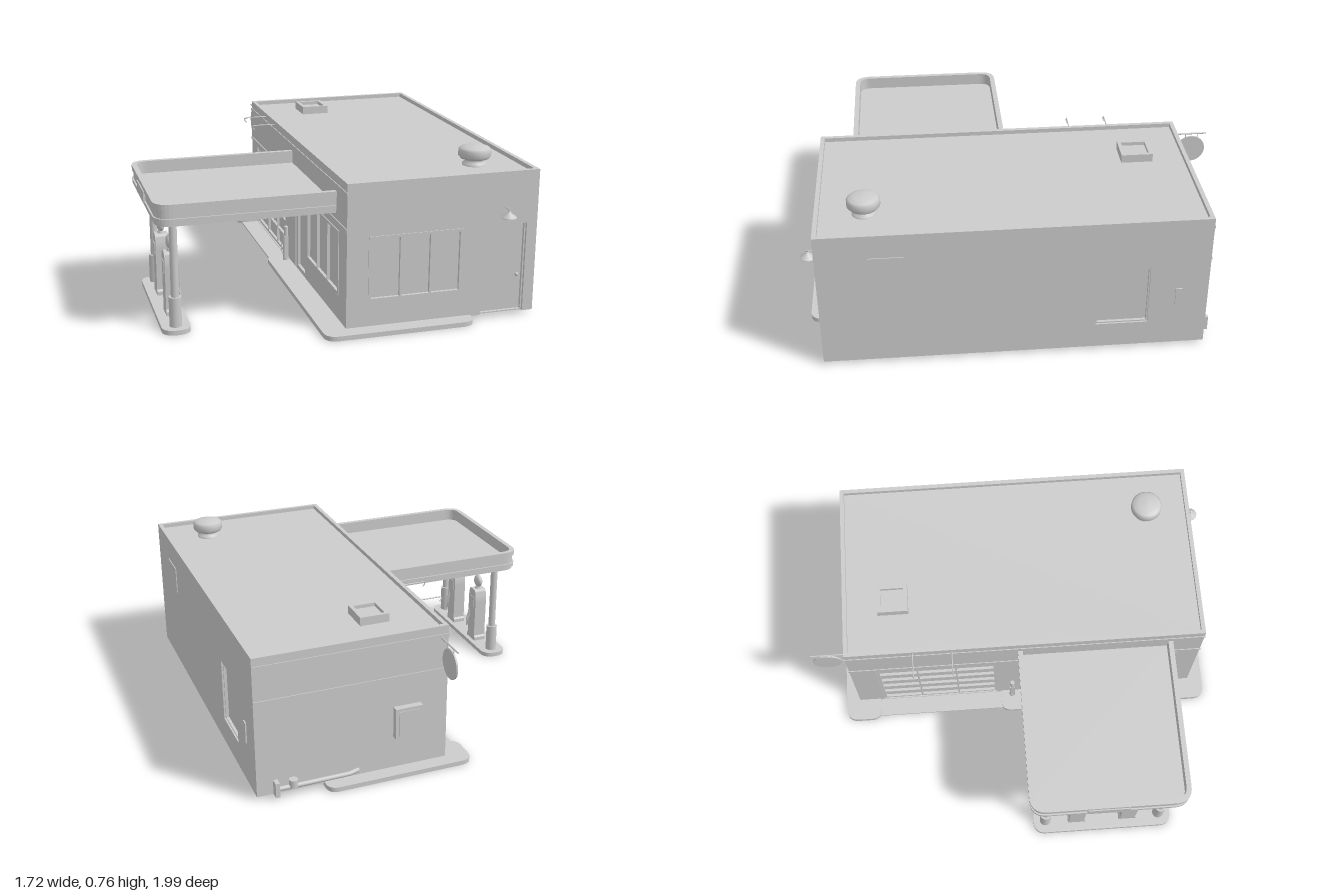
import * as THREE from 'three';

const mat = new THREE.MeshStandardMaterial({ color: 0xcccccc, side: THREE.DoubleSide });

function add(parent, name, geo, x = 0, y = 0, z = 0) {
  const m = new THREE.Mesh(geo, mat);
  m.name = name;
  m.position.set(x, y, z);
  parent.add(m);
  return m;
}

function box(parent, name, [x0, x1], [y0, y1], [z0, z1]) {
  return add(parent, name, new THREE.BoxGeometry(x1 - x0, y1 - y0, z1 - z0),
    (x0 + x1) / 2, (y0 + y1) / 2, (z0 + z1) / 2);
}

const cyl = (parent, name, r0, r1, y0, y1, x, z, n = 20) =>
  add(parent, name, new THREE.CylinderGeometry(r1, r0, y1 - y0, n), x, (y0 + y1) / 2, z);

function tube(parent, name, pts, r, smooth = false) {
  const v = pts.map(p => new THREE.Vector3(...p));
  let path = new THREE.CatmullRomCurve3(v);
  if (!smooth) {
    path = new THREE.CurvePath();
    for (let i = 1; i < v.length; i++) path.add(new THREE.LineCurve3(v[i - 1], v[i]));
  }
  return add(parent, name, new THREE.TubeGeometry(path, 24, r, 8));
}

// Outline from [a, b, cornerRadius] points
function outline(pts, C = THREE.Shape) {
  const s = new C(), n = pts.length;
  pts.forEach(([a, b, r = 0], i) => {
    const toward = q => {
      const d = Math.hypot(q[0] - a, q[1] - b);
      return [a + (q[0] - a) * r / d, b + (q[1] - b) * r / d];
    };
    const p0 = toward(pts[(i + n - 1) % n]), p1 = toward(pts[(i + 1) % n]);
    i ? s.lineTo(...p0) : s.moveTo(...p0);
    if (r) s.quadraticCurveTo(a, b, ...p1);
  });
  s.closePath();
  return s;
}
const rect = (a0, a1, b0, b1, r = 0, C = THREE.Shape) =>
  outline([[a0, b0, r], [a1, b0, r], [a1, b1, r], [a0, b1, r]], C);
const extrude = (shape, depth) =>
  new THREE.ExtrudeGeometry(shape, { depth, bevelEnabled: false, curveSegments: 8 });

// Horizontal slab from an (x, z) outline
function slab(parent, name, pts, y0, y1, hole) {
  const flip = p => p.map(([x, z, r]) => [x, -z, r]);
  const s = outline(flip(pts));
  if (hole) s.holes.push(outline(flip(hole), THREE.Path));
  return add(parent, name, extrude(s, y1 - y0).rotateX(-Math.PI / 2), 0, y0, 0);
}

// Wall in local coordinates (outside is local +z), with framed openings
function wall(parent, name, u0, u1, openings) {
  const g = new THREE.Group();
  g.name = name;
  parent.add(g);
  const s = rect(u0, u1, 0.015, 0.685);
  for (const o of openings) s.holes.push(rect(o.u[0], o.u[1], o.v[0], o.v[1], 0, THREE.Path));
  add(g, name + 'Panel', extrude(s, 0.02), 0, 0, -0.02);
  for (const o of openings) {
    const { u: [a, b], v: [c, d], cols = 1, rows = 1, edge = 0.012, bar = 0.008, out = 0.004 } = o;
    const f = rect(a, b, c, d);
    const w = (b - a - 2 * edge - (cols - 1) * bar) / cols;
    const h = (d - c - 2 * edge - (rows - 1) * bar) / rows;
    for (let i = 0; i < cols; i++) for (let j = 0; j < rows; j++) {
      const x = a + edge + i * (w + bar), y = c + edge + j * (h + bar);
      f.holes.push(rect(x, x + w, y, y + h, 0, THREE.Path));
    }
    add(g, o.name + 'Frame', extrude(f, 0.016), 0, 0, out - 0.016);
    box(g, o.name + 'Pane', [a, b], [c, d], [out - 0.02, out - 0.014]);
  }
  return g;
}

export function createModel() {
  const root = new THREE.Group();
  root.name = 'fillingStation';

  // Building shell, open at the bottom
  const building = new THREE.Group();
  building.name = 'building';
  root.add(building);
  const front = wall(building, 'frontWall', -0.05, 0.85, [
    { name: 'frontWindow', u: [0.05, 0.49], v: [0.14, 0.44], cols: 3 },
    { name: 'frontDoor', u: [0.59, 0.80], v: [0.015, 0.44], edge: 0.006, out: -0.012 }]);
  front.position.z = 0.92;
  add(front, 'doorKnob', new THREE.SphereGeometry(0.009, 12, 8), 0.77, 0.19, -0.015);

  const west = wall(building, 'forecourtWall', -0.83, 0.92, [
    { name: 'garageDoor', u: [-0.70, -0.10], v: [0.015, 0.45], cols: 3, rows: 5, out: -0.006 },
    { name: 'shopDoor', u: [0.09, 0.27], v: [0.015, 0.44], edge: 0.022, out: -0.006 },
    { name: 'shopWindow', u: [0.31, 0.81], v: [0.14, 0.44], cols: 3 }]);
  west.rotation.y = -Math.PI / 2;
  west.position.x = -0.05;

  const east = wall(building, 'sideWall', -0.92, 0.83, [
    { name: 'sideWindow', u: [0.32, 0.56], v: [0.14, 0.44], edge: 0.006, out: -0.008 }]);
  east.rotation.y = Math.PI / 2;
  east.position.x = 0.85;
  box(east, 'meterBox', [0.68, 0.71], [0.22, 0.32], [0, 0.006]);
  box(east, 'wallPlate', [-0.69, -0.53], [0.44, 0.57], [0, 0.004]);

  const back = wall(building, 'backWall', -0.85, 0.05, []);
  back.rotation.y = Math.PI;
  back.position.z = -0.83;
  box(back, 'backVentBox', [-0.21, -0.08], [0.18, 0.33], [0, 0.03]);
  box(back, 'backVentPanel', [-0.195, -0.095], [0.195, 0.315], [0.03, 0.033]);

  // Thin trim lines
  for (const y of [0.475, 0.64]) {
    box(west, 'trim', [-0.834, 0.924], [y - 0.006, y + 0.006], [0, 0.004]);
    box(back, 'trim', [-0.85, 0.054], [y - 0.006, y + 0.006], [0, 0.004]);
  }

  // Roof
  box(building, 'roof', [-0.04, 0.84], [0.645, 0.665], [-0.82, 0.91]);
  const hatch = [[0.16, -0.66], [0.30, -0.66], [0.30, -0.51], [0.16, -0.51]];
  const inner = [[0.178, -0.642], [0.282, -0.642], [0.282, -0.528], [0.178, -0.528]];
  slab(building, 'roofHatchRim', hatch, 0.66, 0.705, inner);
  slab(building, 'roofHatchLid', inner, 0.66, 0.688);
  const vent = [[0.055, 0.66], [0.055, 0.675], [0.04, 0.68], [0.04, 0.695], [0.065, 0.698],
    [0.075, 0.71], [0.075, 0.738], [0.065, 0.748], [0.04, 0.757], [0, 0.76]];
  add(building, 'roofVent', new THREE.LatheGeometry(vent.map(p => new THREE.Vector2(...p)), 24), 0.63, 0, 0.70);

  // Pavement and driveway
  slab(root, 'frontPavement', [[-0.16, -0.08, 0.05], [-0.16, 0.995, 0.06], [0.54, 0.995, 0.06],
    [0.54, 0.91], [-0.05, 0.91], [-0.05, -0.08]], 0, 0.022);
  slab(root, 'backPavement', [[-0.16, -0.72, 0.05], [-0.16, -0.90, 0.06], [0.54, -0.90, 0.05],
    [0.54, -0.82], [-0.05, -0.82], [-0.05, -0.72]], 0, 0.022);
  box(root, 'driveway', [-0.14, -0.05], [0, 0.008], [-0.73, -0.07]);

  // Canopy: a tray with a stepped rim
  const canopy = new THREE.Group();
  canopy.name = 'canopy';
  root.add(canopy);
  const plan = (i, end = -0.03) => [[-0.855 + i, 0.01 + i, 0.08 - i], [-0.855 + i, 0.77 - i, 0.08 - i],
    [end, 0.77 - i], [end, 0.01 + i]];
  slab(canopy, 'canopyDeck', plan(0.01), 0.512, 0.55);
  for (const [y0, y1, inset] of [[0.51, 0.525, 0.007], [0.525, 0.545, 0], [0.545, 0.585, 0.007], [0.585, 0.61, 0]])
    slab(canopy, 'canopyRim', plan(inset), y0, y1, plan(0.024, -0.045));
  box(canopy, 'canopyPlate', [-0.86, -0.85], [0.535, 0.59], [0.28, 0.48]);
  add(canopy, 'canopyLamp', new THREE.SphereGeometry(0.012, 12, 8), -0.42, 0.509, 0.39);

  // Pump island with posts and pumps
  slab(root, 'pumpIsland', [[-0.83, 0.04, 0.06], [-0.70, 0.04, 0.06], [-0.70, 0.74, 0.06], [-0.83, 0.74, 0.06]], 0, 0.022);
  for (const z of [0.10, 0.68]) {
    cyl(root, 'canopyPost', 0.018, 0.018, 0.02, 0.515, -0.765, z);
    cyl(root, 'postSleeve', 0.028, 0.028, 0.02, 0.16, -0.765, z);
  }
  const body = [[-0.045, 0.02], [0.045, 0.02], [0.045, 0.04], [0.037, 0.05], [0.041, 0.27, 0.02],
    [0.03, 0.32, 0.015], [-0.03, 0.32, 0.015], [-0.041, 0.27, 0.02], [-0.037, 0.05], [-0.045, 0.04]];
  for (const z of [0.26, 0.52]) {
    const pump = new THREE.Group();
    pump.name = 'fuelPump';
    pump.position.set(-0.755, 0, z);
    root.add(pump);
    add(pump, 'pumpBody', extrude(outline(body), 0.064).rotateY(Math.PI / 2), -0.032);
    for (const s of [-1, 1]) {
      box(pump, 'pumpDial', s > 0 ? [0.032, 0.035] : [-0.035, -0.032], [0.22, 0.275], [-0.024, 0.024]);
    }
    cyl(pump, 'globeNeck', 0.016, 0.013, 0.318, 0.332, 0, 0);
    add(pump, 'globe', new THREE.SphereGeometry(0.034, 20, 12), 0, 0.362).scale.x = 0.55;
    tube(pump, 'hose', [[0.01, 0.2, 0.04], [0.03, 0.13, 0.056], [0.035, 0.08, 0.05],
      [0.036, 0.13, 0.03], [0.034, 0.19, 0.03]], 0.004, true);
  }

  // Air stand beside the shop door
  cyl(root, 'airStandFoot', 0.016, 0.014, 0.02, 0.035, -0.07, -0.02);
  box(root, 'airStand', [-0.082, -0.06], [0.03, 0.15], [-0.032, -0.008]);
  cyl(root, 'airStandHead', 0.011, 0.011, 0.15, 0.2, -0.07, -0.02);
  tube(root, 'airHose', [[-0.08, 0.14, -0.02], [-0.092, 0.09, -0.03], [-0.085, 0.05, -0.025]], 0.003, true);

  // Front door lamp
  tube(root, 'lampArm', [[0.69, 0.52, 0.91], [0.69, 0.52, 0.96], [0.69, 0.50, 0.96]], 0.003);
  const shade = [[0.005, 0.515], [0.01, 0.505], [0.034, 0.488], [0.034, 0.483]];
  add(root, 'lampShade', new THREE.LatheGeometry(shade.map(p => new THREE.Vector2(...p)), 20), 0.69, 0, 0.96);

  // Bracket arms above the garage door
  for (const z of [-0.5, -0.31]) {
    tube(root, 'bracketArm', [[-0.04, 0.668, z], [-0.168, 0.668, z], [-0.168, 0.655, z], [-0.158, 0.645, z]], 0.003);
  }

  // Round hanging sign at the back corner
  tube(root, 'signBracket', [[-0.015, 0.63, -0.82], [-0.015, 0.63, -0.997]], 0.004);
  for (const z of [-0.895, -0.955]) tube(root, 'signHanger', [[-0.015, 0.63, z], [-0.015, 0.60, z]], 0.002);
  add(root, 'hangingSign', new THREE.CylinderGeometry(0.07, 0.07, 0.008, 32).rotateZ(Math.PI / 2), -0.015, 0.545, -0.925);

  // Low pipe along the back wall
  tube(root, 'backPipe', [[0.38, 0.05, -0.835], [0.43, 0.05, -0.852], [0.77, 0.05, -0.855]], 0.011);
  box(root, 'pipeEnd', [0.755, 0.775], [0.015, 0.085], [-0.868, -0.83]);
  cyl(root, 'pipeValve', 0.02, 0.02, 0.05, 0.085, 0.69, -0.855);

  return root;
}
